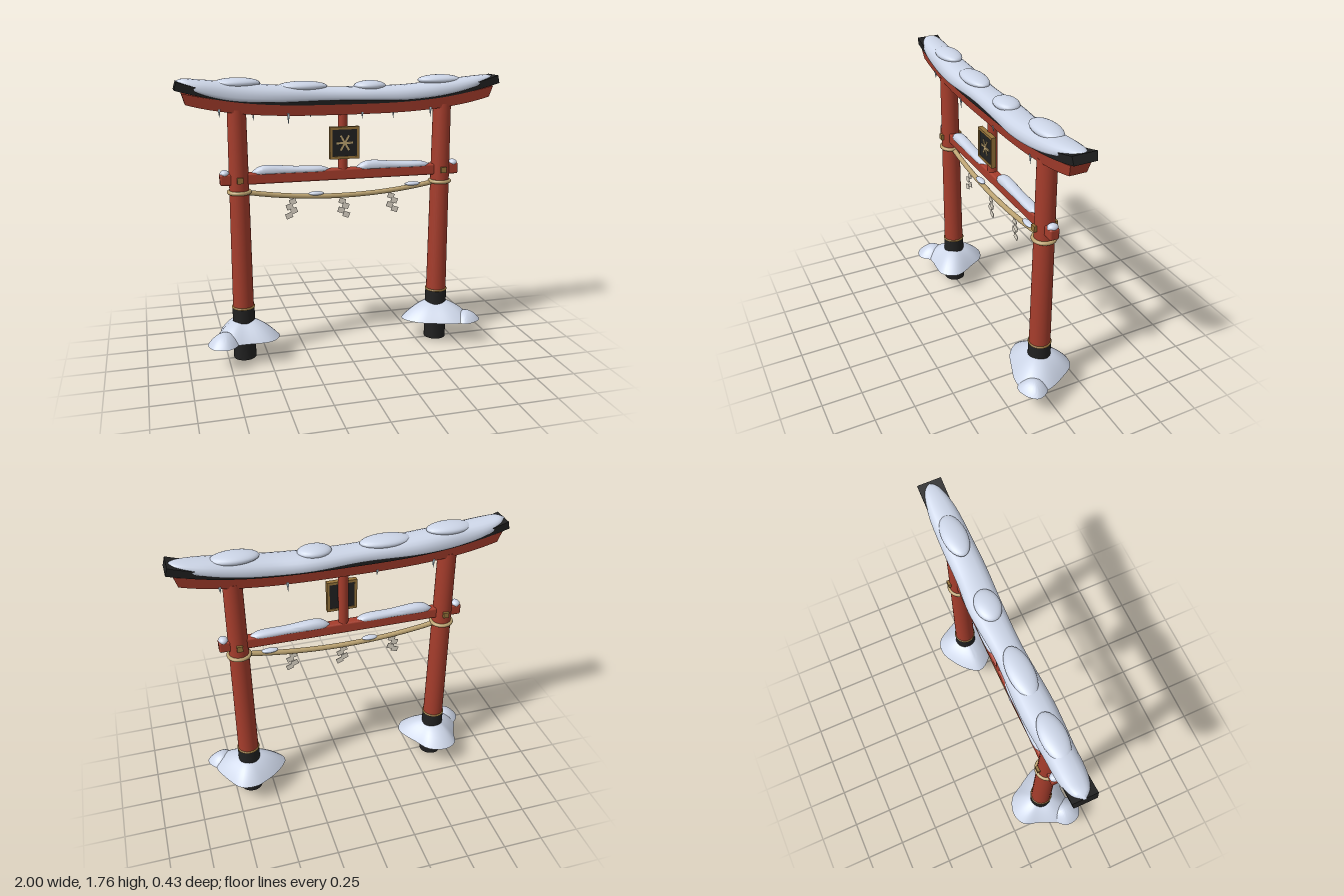
import * as THREE from 'three';
import { toCreasedNormals } from 'three/addons/utils/BufferGeometryUtils.js';
import { RoundedBoxGeometry } from 'three/addons/geometries/RoundedBoxGeometry.js';

const Z = -0.013; // depth of the gate's centre plane
const PILLAR_X = 0.645;

const paint = (name, color, extra = {}) => {
  const m = new THREE.MeshStandardMaterial({ color, ...extra });
  m.name = name;
  return m;
};

// Skin a list of rings (each an array of [x, y, z]) and close both ends
function loft(rings, crease = 0.9) {
  const n = rings[0].length, pos = rings.flat(2), idx = [];
  for (let i = 0; i < rings.length - 1; i++) {
    for (let j = 0; j < n; j++) {
      const k = (j + 1) % n, a = i * n + j, b = a + n, c = i * n + k, d = c + n;
      idx.push(a, b, c, b, d, c);
    }
  }
  [rings[0], rings[rings.length - 1]].forEach((ring, end) => {
    const c = pos.length / 3, base = end ? (rings.length - 1) * n : 0;
    for (let q = 0; q < 3; q++) pos.push(ring.reduce((s, p) => s + p[q], 0) / n);
    for (let j = 0; j < n; j++) {
      const k = (j + 1) % n;
      if (end) idx.push(c, base + k, base + j);
      else idx.push(c, base + j, base + k);
    }
  });
  const g = new THREE.BufferGeometry();
  g.setAttribute('position', new THREE.Float32BufferAttribute(pos, 3));
  g.setIndex(idx);
  return toCreasedNormals(g, crease);
}

// Upswept beam with a four-sided section; the tips lean by `lean`
function sweptBeam(half, bottom, top, wBottom, wTop, rise, lean) {
  const rings = [];
  for (let i = 0; i <= 48; i++) {
    const u = -1 + i / 24, x = u * half, lift = rise * Math.abs(x) ** 3;
    const xt = x + lean * u ** 9, xb = x - lean * u ** 9;
    rings.push([[xb, bottom + lift, Z + wBottom], [xt, top + lift, Z + wTop],
      [xt, top + lift, Z - wTop], [xb, bottom + lift, Z - wBottom]]);
  }
  return loft(rings, 0.5);
}

// Snow lying along a beam; rows are [x, top, bottom, back z, front z]
function snowBank(rows, steps) {
  const curve = cols => new THREE.CatmullRomCurve3(
    rows.map(r => new THREE.Vector3(r[0], r[cols[0]], r[cols[1]])), false, 'centripetal');
  const heights = curve([1, 2]), depths = curve([3, 4]), rings = [];
  for (let i = 0; i <= steps; i++) {
    const h = heights.getPoint(i / steps), d = depths.getPoint(i / steps);
    const mid = (d.y + d.z) / 2, hw = (d.z - d.y) / 2, ym = h.z + (h.y - h.z) * 0.25;
    const ring = [];
    for (let j = 0; j < 20; j++) {
      const a = j / 20 * Math.PI * 2, s = Math.sin(a), c = Math.cos(a);
      const z = mid + hw * Math.sign(c) * Math.abs(c) ** 0.8;
      const y = s >= 0 ? ym + (h.y - ym) * s ** 0.85 : ym - (ym - h.z) * (-s) ** 0.5;
      ring.push([h.x, y, z]);
    }
    rings.push(ring);
  }
  return loft(rings, 1.1);
}

// Flat-bottomed snow heap from an [x, z] outline
function snowHeap(outline, cx, cz, height) {
  const edge = new THREE.CatmullRomCurve3(
    outline.map(([x, z]) => new THREE.Vector3(x, 0, z)), true).getPoints(44).slice(0, 44);
  const rings = [];
  for (let i = 0; i <= 10; i++) {
    const s = Math.max(Math.cos(i / 10 * Math.PI / 2), 0.03);
    rings.push(edge.map(p => [cx + (p.x - cx) * s, 0.15 + height * (1 - s * s), cz + (p.z - cz) * s]));
  }
  return loft(rings, 0.9);
}

export function createModel() {
  const gate = new THREE.Group();
  gate.name = 'snowyGate';
  const red = paint('vermilion', 0xa63d2c), black = paint('black', 0x212121);
  const snow = paint('snow', 0xcdd6e8), gold = paint('gold', 0x96733a);
  const straw = paint('straw', 0xbba270), paper = paint('paper', 0xe2dacb, { side: THREE.DoubleSide });
  const ice = paint('ice', 0xb4cfdd);

  const add = (name, geo, mat, x = 0, y = 0, z = 0, parent = gate) => {
    const m = new THREE.Mesh(geo, mat);
    m.name = name;
    m.position.set(x, y, z);
    parent.add(m);
    return m;
  };
  const lump = (name, x, y, z, rx, ry, rz) =>
    add(name, new THREE.SphereGeometry(1, 24, 14), snow, x, y, z).scale.set(rx, ry, rz);
  const hoop = (name, r, tube, mat, x, y) =>
    add(name, new THREE.TorusGeometry(r, tube, 10, 36), mat, x, y, Z).rotation.x = Math.PI / 2;

  // Pillars with sleeves, bands, wedges and beam-end snow
  for (const [side, s] of [['left', 1], ['right', -1]]) {
    const x = s * PILLAR_X;
    add(side + 'Pillar', new THREE.CylinderGeometry(0.056, 0.065, 1.24, 32), red, x, 0.95, Z);
    add(side + 'Sleeve', new THREE.CylinderGeometry(0.069, 0.071, 0.335, 32), black, x, 0.1675, Z);
    hoop(side + 'Band', 0.065, 0.007, gold, x, 0.34);
    hoop(side + 'RopeLoop', 0.063, 0.012, straw, x, 1.075);
    add(side + 'Wedge', new THREE.BoxGeometry(0.035, 0.035, 0.148), gold, x, 1.155, Z);
    lump(side + 'TieSnow', s * 0.73, 1.19, Z, 0.028, 0.022, 0.033);
  }

  // Snow heaps around the pillar feet
  add('rightHeap', snowHeap([[-0.665, -0.22], [-0.56, -0.185], [-0.505, -0.1], [-0.43, 0.055],
    [-0.49, 0.147], [-0.655, 0.152], [-0.78, 0.15], [-0.84, 0.06], [-0.79, -0.08], [-0.75, -0.185]],
  -PILLAR_X, Z, 0.115), snow);
  add('rightHeapLobe', snowHeap([[-0.78, 0.0], [-0.69, 0.06], [-0.7, 0.15], [-0.77, 0.212],
    [-0.86, 0.18], [-0.88, 0.08]], -0.78, 0.1, 0.07), snow);
  add('leftHeap', snowHeap([[0.645, -0.2], [0.735, -0.185], [0.8, -0.1], [0.865, 0.06], [0.82, 0.165],
    [0.72, 0.185], [0.59, 0.147], [0.47, 0.094], [0.405, 0], [0.46, -0.09], [0.56, -0.165]],
  PILLAR_X, Z, 0.115), snow);
  add('leftHeapLobe', snowHeap([[0.8, 0.03], [0.87, 0.05], [0.905, 0.125], [0.86, 0.18], [0.77, 0.2],
    [0.72, 0.13]], 0.81, 0.11, 0.06), snow);

  // Beams and centre post
  add('lintel', sweptBeam(0.95, 1.525, 1.592, 0.05, 0.06, 0.098, 0.01), red);
  add('roofBeam', sweptBeam(0.993, 1.588, 1.636, 0.066, 0.072, 0.108, -0.007), black);
  add('tieBeam', new RoundedBoxGeometry(1.52, 0.07, 0.06, 3, 0.012), red, 0, 1.155, Z);
  add('centrePost', new THREE.CylinderGeometry(0.03, 0.03, 0.37, 20), red, 0, 1.355, Z);

  // Snow along the roof, with soft drifts on top
  add('roofSnow', snowBank([
    [-0.99, 1.742, 1.735, -0.02, -0.01], [-0.95, 1.755, 1.712, -0.065, 0.033],
    [-0.87, 1.75, 1.672, -0.09, 0.062], [-0.7, 1.735, 1.625, -0.097, 0.072],
    [-0.45, 1.712, 1.608, -0.11, 0.083], [-0.1, 1.69, 1.61, -0.098, 0.066],
    [0.2, 1.69, 1.604, -0.117, 0.074], [0.4, 1.695, 1.602, -0.103, 0.084],
    [0.62, 1.715, 1.622, -0.1, 0.082], [0.82, 1.735, 1.666, -0.09, 0.068],
    [0.94, 1.742, 1.71, -0.06, 0.03], [0.985, 1.735, 1.728, -0.02, -0.01]], 72), snow);
  [[-0.64, 1.722, 0.14], [-0.25, 1.694, 0.155], [0.17, 1.69, 0.1], [0.62, 1.717, 0.14]]
    .forEach(([x, y, r], i) => lump('roofDrift' + (i + 1), x, y, -0.015, r, 0.033, 0.072));

  // Snow on the tie beam, one bank each side of the post
  const bank = snowBank([[-0.57, 1.188, 1.182, -0.025, -0.005], [-0.53, 1.218, 1.178, -0.045, 0.02],
    [-0.48, 1.23, 1.178, -0.05, 0.024], [-0.3, 1.216, 1.178, -0.047, 0.022],
    [-0.13, 1.208, 1.178, -0.045, 0.02], [-0.08, 1.187, 1.182, -0.025, -0.005]], 28);
  add('rightTieBank', bank, snow);
  add('leftTieBank', bank, snow, 0.655);

  // Plaque with frame and six-armed star
  const plaque = new THREE.Group();
  plaque.name = 'plaque';
  plaque.position.set(0, 1.353, 0.024);
  gate.add(plaque);
  add('plaquePanel', new THREE.BoxGeometry(0.17, 0.18, 0.02), black, 0, 0, 0, plaque);
  for (const s of [-1, 1]) {
    add('frameSide', new THREE.BoxGeometry(0.016, 0.197, 0.03), gold, s * 0.085, 0, 0, plaque);
    add('frameRail', new THREE.BoxGeometry(0.186, 0.016, 0.03), gold, 0, s * 0.0905, 0, plaque);
  }
  for (let i = 0; i < 3; i++) {
    add('starArm', new THREE.BoxGeometry(0.105, 0.012, 0.006), straw, 0, 0, 0.012, plaque)
      .rotation.z = i * Math.PI / 3;
  }

  // Sagging straw rope with a little snow
  const sag = x => 1.015 + 0.15 * x * x;
  const path = [];
  for (let i = 0; i <= 12; i++) {
    const x = -0.61 + i * 1.22 / 12;
    path.push(new THREE.Vector3(x, sag(x), Z));
  }
  add('rope', new THREE.TubeGeometry(new THREE.CatmullRomCurve3(path), 48, 0.016, 12), straw);
  lump('ropeSnow1', -0.17, sag(-0.17) + 0.018, Z, 0.05, 0.013, 0.022);
  lump('ropeSnow2', 0.46, sag(0.46) + 0.018, Z, 0.052, 0.013, 0.022);

  // Zigzag paper streamers
  [[-0.325, -1], [0, 1], [0.32, 1]].forEach(([x, s]) => {
    const streamer = new THREE.Group();
    streamer.name = 'streamer';
    streamer.position.set(x, sag(x) - 0.01, Z + 0.008);
    gate.add(streamer);
    [[-0.005, -0.025], [0.016, -0.055], [-0.012, -0.083], [0.02, -0.112]].forEach(([px, py], i) => {
      add('paperFold', new THREE.BoxGeometry(0.042, 0.034, 0.004), paper, s * px, py, i % 2 * 0.004, streamer)
        .rotation.z = -s * 0.35;
    });
  });

  // Icicles along both lower edges of the lintel
  [[-0.75, 0.05], [-0.54, 0.065], [-0.345, 0.07], [-0.19, 0.04], [0.11, 0.04], [0.34, 0.065],
    [0.55, 0.06], [0.72, 0.045]].forEach(([x, len], i) => {
    const y = 1.53 + 0.098 * Math.abs(x) ** 3 - len / 2 + 0.008;
    add('icicle', new THREE.ConeGeometry(0.009, len, 8), ice, x, y, Z + (i % 2 ? -0.048 : 0.048))
      .rotation.x = Math.PI;
  });

  return gate;
}
